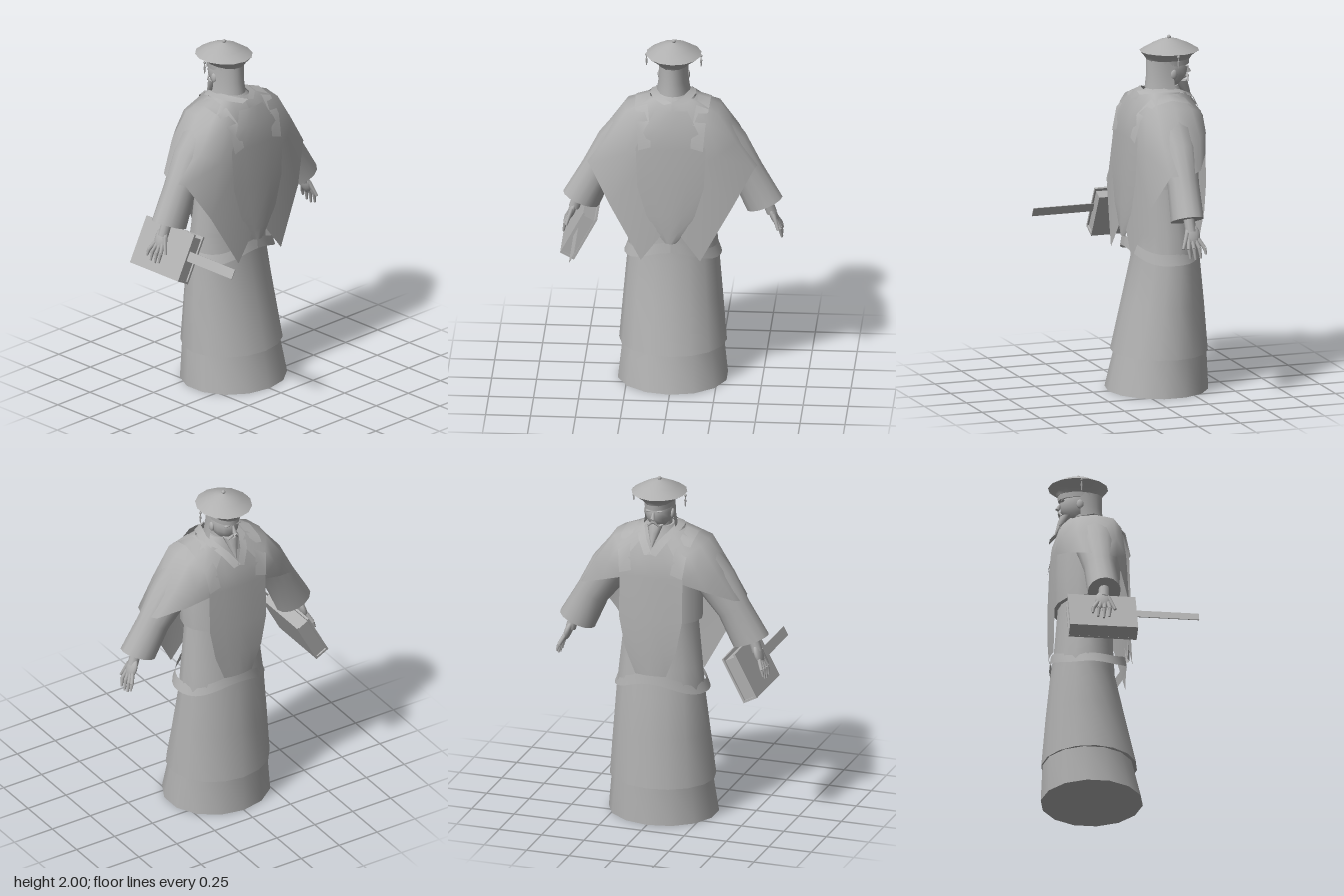
import * as THREE from 'three';

const V = (x, y, z) => new THREE.Vector3(x, y, z);

// Surface through rows of points; closed rows form a tube, caps fill its ends
function loft(rows, closed = false, caps = false) {
  const n = rows[0].length, pos = [], idx = [];
  rows.forEach(r => r.forEach(p => pos.push(p.x, p.y, p.z)));
  const cols = closed ? n : n - 1;
  for (let i = 0; i < rows.length - 1; i++) {
    for (let j = 0; j < cols; j++) {
      const a = i * n + j, b = i * n + (j + 1) % n, c = a + n, d = b + n;
      idx.push(a, c, b, b, c, d);
    }
  }
  if (caps) {
    [[rows[0], false], [rows[rows.length - 1], true]].forEach(([row, flip]) => {
      const start = pos.length / 3;
      row.forEach(p => pos.push(p.x, p.y, p.z));
      for (let j = 1; j < n - 1; j++) {
        if (flip) idx.push(start, start + j + 1, start + j);
        else idx.push(start, start + j, start + j + 1);
      }
    });
  }
  const g = new THREE.BufferGeometry();
  g.setAttribute('position', new THREE.Float32BufferAttribute(pos, 3));
  g.setIndex(idx);
  g.computeVertexNormals();
  return g;
}

// Level oval: height, half width, back z, front z
function oval([y, rx, zb, zf], n = 16) {
  return Array.from({ length: n }, (_, i) => {
    const a = i / n * Math.PI * 2;
    return V(rx * Math.sin(a), y, (zb + zf) / 2 + (zb - zf) / 2 * Math.cos(a));
  });
}

// Oval tilted in the xy plane: centre, half vector (hx, hy), half depth
function tiltedOval([x, y, z, hx, hy, rz], n = 14) {
  return Array.from({ length: n }, (_, i) => {
    const a = i / n * Math.PI * 2, c = Math.cos(a);
    return V(x + hx * c, y + hy * c, z + rz * Math.sin(a));
  });
}

export function createModel() {
  const group = new THREE.Group();
  const grey = new THREE.MeshStandardMaterial({ color: 0xb0b0b0, side: THREE.DoubleSide });
  grey.name = 'plain grey';

  const add = (name, geo, parent = group) => {
    const m = new THREE.Mesh(geo, grey);
    m.name = name;
    parent.add(m);
    return m;
  };
  const body = (name, list, n) => add(name, loft(list.map(r => oval(r, n)), true, true));
  const rod = (name, a, b, r1, r2, parent, sides = 7) => {
    const m = add(name, new THREE.CylinderGeometry(r2, r1, a.distanceTo(b), sides), parent);
    m.position.copy(a).lerp(b, 0.5);
    m.quaternion.setFromUnitVectors(V(0, 1, 0), b.clone().sub(a).normalize());
    return m;
  };
  const ball = (name, p, s, parent) => {
    const m = add(name, new THREE.SphereGeometry(1, 14, 10), parent);
    m.position.copy(p);
    m.scale.copy(s);
    return m;
  };

  // Robe
  body('underSkirt', [[0, 0.31, 0.16, -0.411], [0.24, 0.283, 0.1, -0.4]], 14);
  body('outerSkirt', [[0.215, 0.3, 0.127, -0.408], [0.5, 0.276, 0.06, -0.384],
    [0.74, 0.255, 0.005, -0.36], [0.9, 0.24, -0.005, -0.338], [1.18, 0.21, -0.01, -0.315]]);
  body('torso', [[1.17, 0.235, 0.02, -0.34], [1.45, 0.235, 0.035, -0.335],
    [1.58, 0.2, 0.02, -0.31], [1.67, 0.12, -0.03, -0.27], [1.72, 0.075, -0.09, -0.25]]);

  // Loose belt, arched at front and back
  const beltRow = (rx, rz, base, lift) => Array.from({ length: 33 }, (_, i) => {
    const a = i / 32 * Math.PI * 2, c = Math.cos(a);
    return V(rx * Math.sin(a), base + lift * c ** 4, -0.147 + rz * c);
  });
  add('belt', loft([beltRow(0.272, 0.215, 0.745, 0.075), beltRow(0.25, 0.207, 0.805, 0.075)]));

  // Hanging panels: rows of height, half width, z
  const panel = (name, rows, dir) => add(name, loft(rows.map(([y, w, z]) =>
    [-1, -0.5, 0, 0.5, 1].map(t => V(w * t, y, z - dir * 0.014 * t * t)))));
  panel('backPanel', [[1.66, 0.09, 0.025], [1.57, 0.14, 0.06], [1.45, 0.195, 0.073],
    [1.22, 0.185, 0.082], [1.05, 0.135, 0.086], [0.95, 0.085, 0.086], [0.88, 0.03, 0.084]], 1);
  panel('frontPanel', [[1.66, 0.07, -0.31], [1.55, 0.15, -0.348], [1.45, 0.185, -0.356],
    [1.2, 0.185, -0.366], [1.02, 0.15, -0.368], [0.87, 0.09, -0.364]], -1);

  // Shoulder cape columns, front to back; each runs collar, shoulder, middle, hem
  const cape = [
    [.05, 1.66, -.29, .1, 1.55, -.335, .14, 1.5, -.342, .17, 1.43, -.34],
    [.1, 1.69, -.26, .2, 1.6, -.315, .26, 1.5, -.32, .31, 1.38, -.3],
    [.12, 1.69, -.2, .255, 1.63, -.24, .36, 1.48, -.25, .45, 1.32, -.22],
    [.13, 1.69, -.15, .27, 1.64, -.14, .385, 1.48, -.13, .488, 1.3, -.13],
    [.12, 1.69, -.1, .255, 1.63, -.035, .36, 1.46, -.03, .46, 1.3, -.04],
    [.1, 1.7, -.07, .2, 1.6, .015, .26, 1.4, .035, .34, 1.09, .04],
    [.07, 1.7, -.06, .12, 1.6, .03, .15, 1.35, .055, .165, .78, .082],
    [0, 1.7, -.05, 0, 1.6, .035, 0, 1.35, .06, 0, 1.0, .072]
  ].map(c => [0, 3, 6, 9].map(k => V(c[k], c[k + 1], c[k + 2])));

  // Everything that mirrors from one side to the other
  [1, -1].forEach(s => {
    const side = new THREE.Group();
    side.name = s > 0 ? 'leftSide' : 'rightSide';
    side.scale.x = s;
    group.add(side);

    add('cape', loft(cape), side);
    add('sleeve', loft([[0.2, 1.54, -0.14, 0.08, 0.08, 0.13], [0.31, 1.4, -0.135, 0.1, 0.06, 0.11],
      [0.415, 1.24, -0.13, 0.085, 0.045, 0.088], [0.51, 1.06, -0.118, 0.1, 0.04, 0.092]]
      .map(r => tiltedOval(r)), true, true), side);

    // Strap and collar fold over the shoulder: centre points and half width
    const strip = (name, pts, w) => add(name, loft(pts.map(([x, y, z]) =>
      [V(x - w, y + w * 0.3, z), V(x + w, y - w * 0.3, z)])), side);
    strip('shoulderStrap', [[0.15, 1.47, -0.352], [0.165, 1.59, -0.325], [0.175, 1.66, -0.24],
      [0.175, 1.685, -0.14], [0.17, 1.66, -0.04], [0.155, 1.58, 0.04], [0.145, 1.45, 0.07]], 0.035);
    strip('collarFold', [[0.012, 1.59, -0.362], [0.06, 1.66, -0.315], [0.1, 1.7, -0.23],
      [0.105, 1.71, -0.14], [0.08, 1.705, -0.06], [0.02, 1.69, -0.01]], 0.022);

    // Hand
    rod('wrist', V(0.52, 1.09, -0.12), V(0.55, 1.0, -0.125), 0.03, 0.03, side, 10);
    const palm = ball('palm', V(0.56, 0.985, -0.13), V(0.021, 0.062, 0.044), side);
    palm.rotation.z = 0.35;
    [[-0.1, 0.862], [-0.131, 0.853], [-0.163, 0.86], [-0.193, 0.88]].forEach(([z, y], i) => {
      const mid = V(0.597, 0.915, z + 0.005);
      rod('finger', V(0.572, 0.965, -0.105 - i * 0.018), mid, 0.012, 0.011, side);
      rod('fingertip', mid, V(0.608, y, z), 0.011, 0.006, side);
    });
    rod('thumb', V(0.56, 1.0, -0.1), V(0.59, 0.915, -0.065), 0.014, 0.008, side);

    // Face and hat details
    ball('ear', V(0.078, 1.79, -0.2), V(0.012, 0.028, 0.02), side);
    rod('moustache', V(0.004, 1.765, -0.308), V(0.035, 1.735, -0.298), 0.009, 0.003, side);
    ball('eyebrow', V(0.032, 1.825, -0.292), V(0.02, 0.006, 0.01), side);
    rod('tasselCord', V(0.152, 1.915, -0.2), V(0.152, 1.88, -0.2), 0.003, 0.003, side);
    rod('tassel', V(0.152, 1.88, -0.2), V(0.152, 1.84, -0.2), 0.007, 0.003, side);
    ball('tasselBead', V(0.152, 1.905, -0.2), V(0.008, 0.008, 0.008), side);
  });

  // Head
  body('neck', [[1.66, 0.065, -0.1, -0.25], [1.78, 0.06, -0.1, -0.24]]);
  ball('head', V(0, 1.81, -0.195), V(0.078, 0.105, 0.11));
  rod('nose', V(0, 1.82, -0.3), V(0, 1.782, -0.318), 0.006, 0.013);
  add('beard', loft([oval([1.74, 0.045, -0.23, -0.305], 10), oval([1.7, 0.032, -0.26, -0.318], 10),
    oval([1.625, 0.004, -0.325, -0.335], 10)], true, true));

  // Cloth hanging behind the neck
  add('neckCloth', loft([[1.71, 0.093, 0.13], [1.78, 0.082, 0.122], [1.87, 0.08, 0.122]].map(([y, rx, rz]) =>
    Array.from({ length: 13 }, (_, i) => {
      const a = (i / 12 - 0.5) * Math.PI * 1.05;
      return V(rx * Math.sin(a), y, -0.19 + rz * Math.cos(a));
    }))));

  // Hat
  body('hatBand', [[1.835, 0.08, -0.072, -0.315], [1.895, 0.084, -0.07, -0.322]]);
  body('hatUnderside', [[1.865, 0.083, -0.07, -0.322], [1.885, 0.105, -0.06, -0.33],
    [1.915, 0.155, -0.034, -0.37]], 14);
  body('hatCrown', [[1.915, 0.155, -0.034, -0.37], [1.95, 0.1, -0.1, -0.31],
    [1.973, 0.05, -0.15, -0.255], [1.983, 0.004, -0.197, -0.205]], 14);
  ball('hatKnob', V(0, 1.989, -0.2), V(0.011, 0.011, 0.011));

  // Book with its bookmark, held in the right hand
  const book = new THREE.Group();
  book.name = 'book';
  book.position.set(-0.512, 0.903, -0.13);
  book.rotation.z = -0.487;
  group.add(book);
  const box = (name, w, h, d, x, y, z) =>
    add(name, new THREE.BoxGeometry(w, h, d), book).position.set(x, y, z);
  box('cover', 0.012, 0.277, 0.38, -0.038, 0, 0);
  box('cover', 0.012, 0.277, 0.38, 0.038, 0, 0);
  box('spine', 0.08, 0.012, 0.38, 0, -0.132, 0);
  box('pages', 0.066, 0.25, 0.36, 0, -0.004, 0);
  box('bookmark', 0.004, 0.056, 0.36, -0.024, 0.012, 0.36);

  return group;
}
